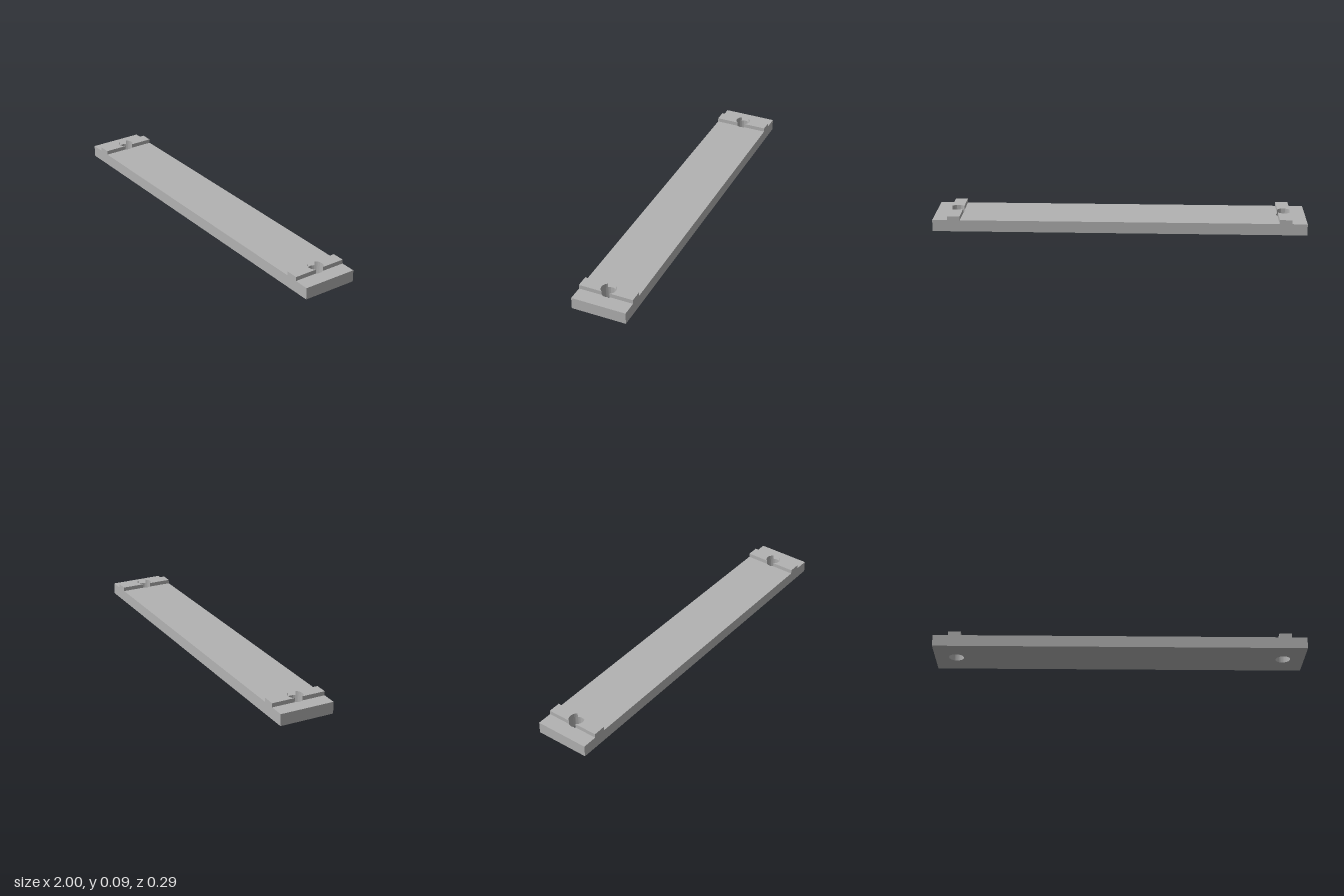
import * as THREE from 'three';
import { toCreasedNormals } from 'three/addons/utils/BufferGeometryUtils.js';

const HALF_Z = 0.147, PLATE_H = 0.063, RIDGE_H = 0.022;
const HOLE_X = 0.885, HOLE_R = 0.04, RIDGE_HALF = 0.0335;

// Extrude a plan-view outline upward from y = 0
function slab(shape, height) {
  const g = new THREE.ExtrudeGeometry(shape, { depth: height, bevelEnabled: false, curveSegments: 32 });
  g.rotateX(-Math.PI / 2);
  return toCreasedNormals(g, 0.6);
}

export function createModel() {
  const group = new THREE.Group();
  const grey = new THREE.MeshStandardMaterial({ color: 0xb2b2b2 });
  grey.name = 'grey';

  const add = (name, geometry, x, y) => {
    const mesh = new THREE.Mesh(geometry, grey);
    mesh.name = name;
    mesh.position.set(x, y, 0);
    group.add(mesh);
    return mesh;
  };

  // Flat bar with a round through-hole near each end
  const bar = new THREE.Shape([
    new THREE.Vector2(-1, -HALF_Z), new THREE.Vector2(1, -HALF_Z),
    new THREE.Vector2(1, HALF_Z), new THREE.Vector2(-1, HALF_Z),
  ]);
  for (const s of [-1, 1]) {
    const hole = new THREE.Path();
    hole.absarc(s * HOLE_X, 0, HOLE_R, 0, Math.PI * 2, true);
    bar.holes.push(hole);
  }
  add('basePlate', slab(bar, PLATE_H), 0, 0);

  // Raised ridge half, its inner end cut by the hole
  const a = Math.acos(RIDGE_HALF / HOLE_R);
  const ridge = new THREE.Shape();
  ridge.moveTo(RIDGE_HALF, HOLE_R * Math.sin(a));
  ridge.lineTo(RIDGE_HALF, HALF_Z);
  ridge.lineTo(-RIDGE_HALF, HALF_Z);
  ridge.lineTo(-RIDGE_HALF, HOLE_R * Math.sin(a));
  ridge.absarc(0, 0, HOLE_R, Math.PI - a, a, true);
  const ridgeGeometry = slab(ridge, RIDGE_H);

  for (const [side, s] of [['left', 1], ['right', -1]]) {
    add(side + 'RidgeBack', ridgeGeometry, s * HOLE_X, PLATE_H);
    add(side + 'RidgeFront', ridgeGeometry, s * HOLE_X, PLATE_H).rotation.y = Math.PI;
  }
  return group;
}
